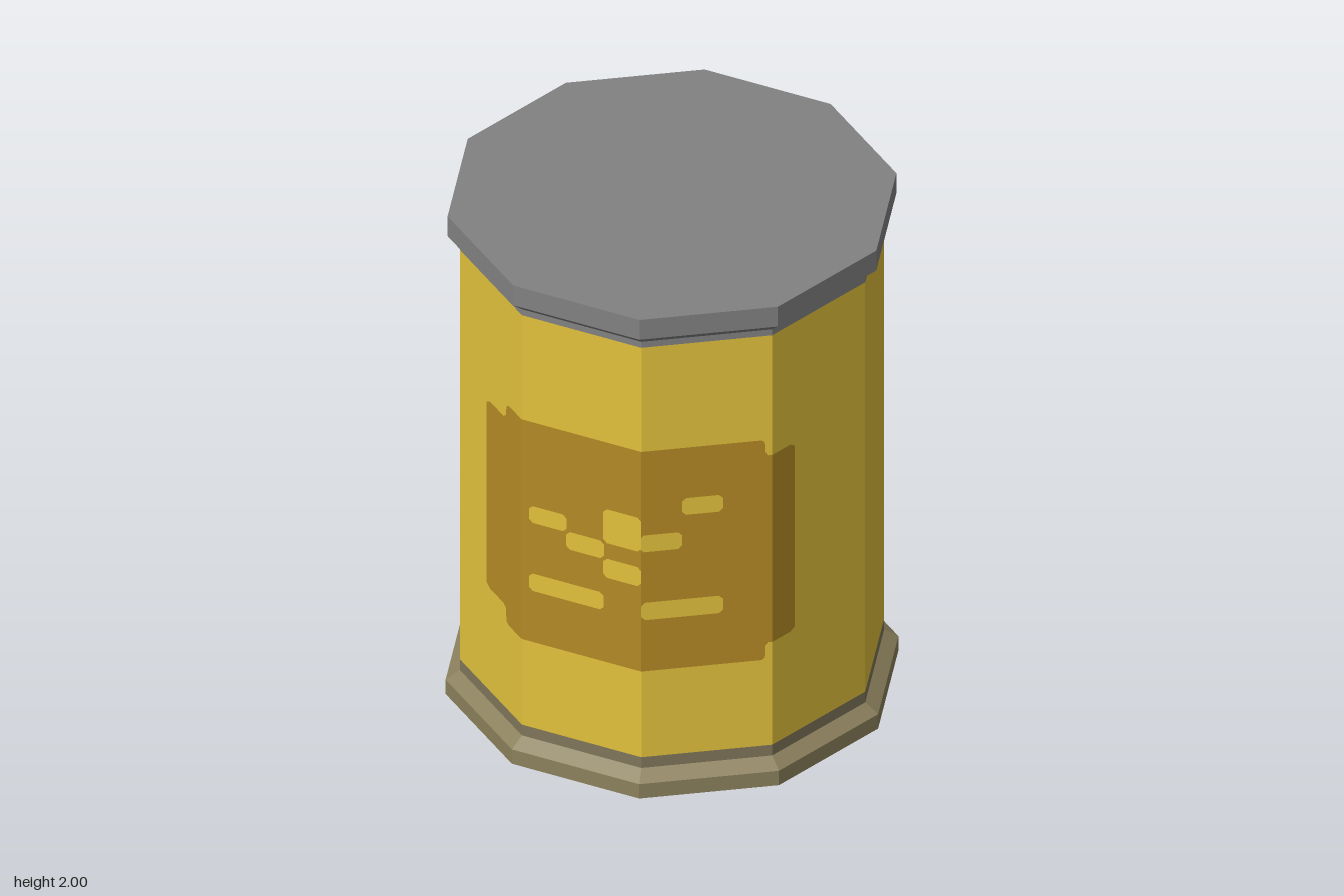
import * as THREE from 'three';

const SIDES = 10;
const BODY_R = 0.75;

function material(name, color) {
  const m = new THREE.MeshStandardMaterial({ color, flatShading: true });
  m.name = name;
  return m;
}

// Ten-sided ring or solid from a [radius, y] profile listed bottom to top
function turned(name, profile, mat) {
  const points = profile.map(([r, y]) => new THREE.Vector2(r, y));
  const mesh = new THREE.Mesh(new THREE.LatheGeometry(points, SIDES), mat);
  mesh.name = name;
  return mesh;
}

// Depth of the ten-sided front wall at a given x
function wallZ(x, r) {
  const step = (Math.PI * 2) / SIDES;
  const ax = Math.abs(x);
  const i = ax < r * Math.sin(step) ? 0 : 1;
  const x0 = r * Math.sin(i * step), x1 = r * Math.sin((i + 1) * step);
  const z0 = r * Math.cos(i * step), z1 = r * Math.cos((i + 1) * step);
  return z0 + ((z1 - z0) * (ax - x0)) / (x1 - x0);
}

// Thin sheet folded over the wall, from [x, low, high] columns left to right
function sheet(name, columns, lift, mat) {
  const r = BODY_R + lift;
  const fold = r * Math.sin((Math.PI * 2) / SIDES);
  const pos = [];
  for (let i = 0; i < columns.length - 1; i++) {
    const [xa, la, ha] = columns[i], [xb, lb, hb] = columns[i + 1];
    const at = (x) => {
      const t = (x - xa) / (xb - xa);
      return [x, la + (lb - la) * t, ha + (hb - ha) * t, wallZ(x, r)];
    };
    const cuts = [xa, ...[-fold, 0, fold].filter((x) => x > xa && x < xb), xb].map(at);
    for (let k = 0; k < cuts.length - 1; k++) {
      const [x0, l0, h0, z0] = cuts[k], [x1, l1, h1, z1] = cuts[k + 1];
      pos.push(x0, l0, z0, x1, l1, z1, x1, h1, z1);
      pos.push(x0, l0, z0, x1, h1, z1, x0, h0, z0);
    }
  }
  const geo = new THREE.BufferGeometry();
  geo.setAttribute('position', new THREE.Float32BufferAttribute(pos, 3));
  geo.computeVertexNormals();
  const mesh = new THREE.Mesh(geo, mat);
  mesh.name = name;
  return mesh;
}

export function createModel() {
  const yellow = material('yellow wall', 0xe2c23c);
  const brown = material('brown label', 0xb48a25);
  const grey = material('grey metal', 0x828282);
  const olive = material('olive base', 0x8c815d);
  const darkOlive = material('dark olive band', 0x80765a);

  const model = new THREE.Group();
  model.name = 'canister';

  // Container wall
  model.add(turned('wall', [[BODY_R, 0.14], [BODY_R, 1.855]], yellow));

  // Base: underside, flared foot and band
  model.add(turned('underside', [[0, 0], [0.8, 0]], grey));
  model.add(turned('foot', [[0.8, 0], [0.8, 0.06], [BODY_R, 0.095]], olive));
  model.add(turned('baseBand', [[BODY_R, 0.095], [BODY_R, 0.14]], darkOlive));

  // Lid with tapered lower edge
  model.add(turned('lid', [[BODY_R, 1.855], [BODY_R, 1.88], [0.793, 1.917], [0.793, 2], [0, 2]], grey));

  // Label with stepped, softened corners
  model.add(sheet('label', [
    [-0.595, 0.585, 1.34], [-0.58, 0.572, 1.355], [-0.52, 0.572, 1.355],
    [-0.51, 0.56, 1.37], [-0.508, 0.51, 1.41], [-0.498, 0.5, 1.42],
    [0.405, 0.5, 1.42], [0.415, 0.51, 1.41], [0.417, 0.56, 1.37],
    [0.427, 0.572, 1.355], [0.495, 0.572, 1.355], [0.508, 0.585, 1.34],
  ], 0.002, brown));

  // Bare patches on the label: x range, y range
  const patches = new THREE.Group();
  patches.name = 'labelPatches';
  const c = 0.014;
  [
    [0.137, 0.275, 1.14, 1.21],
    [-0.14, 0, 1.0, 1.142],
    [-0.005, 0.138, 1.0, 1.07],
    [-0.414, -0.275, 1.0, 1.07],
    [-0.277, -0.137, 0.93, 1.004],
    [-0.14, 0, 0.855, 0.935],
    [-0.414, -0.138, 0.715, 0.788],
    [0, 0.275, 0.715, 0.788],
  ].forEach(([x0, x1, y0, y1], i) => {
    patches.add(sheet(`patch${i + 1}`, [
      [x0, y0 + c, y1 - c], [x0 + c, y0, y1], [x1 - c, y0, y1], [x1, y0 + c, y1 - c],
    ], 0.004, yellow));
  });
  model.add(patches);

  return model;
}
